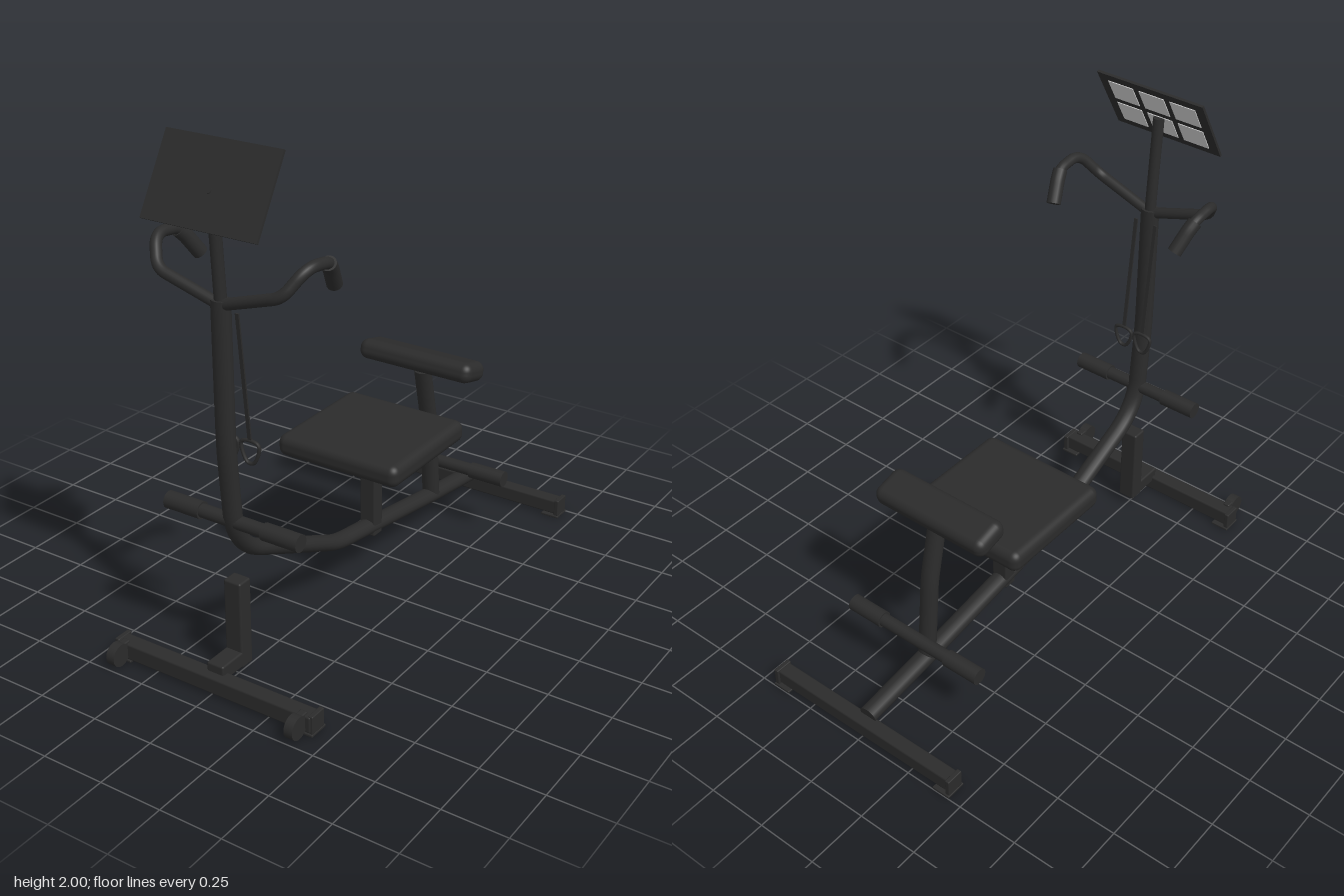
import * as THREE from 'three';
import { RoundedBoxGeometry } from 'three/addons/geometries/RoundedBoxGeometry.js';

const black = new THREE.MeshStandardMaterial({ color: 0x2b2b2b });
black.name = 'black';
const lightGrey = new THREE.MeshStandardMaterial({ color: 0xcccccc });
lightGrey.name = 'light grey';
const V = (x, y, z) => new THREE.Vector3(x, y, z);

export function createModel() {
  const model = new THREE.Group();
  model.name = 'exerciseBench';

  function add(name, geo, x = 0, y = 0, z = 0, parent = model, mat = black) {
    const m = new THREE.Mesh(geo, mat);
    m.name = name;
    m.position.set(x, y, z);
    parent.add(m);
    return m;
  }
  // Box given by its extents in y and z, centred on x
  function bar(name, w, y0, y1, z0, z1, r = 0.008, x = 0) {
    return add(name, new RoundedBoxGeometry(w, y1 - y0, z1 - z0, 2, r), x, (y0 + y1) / 2, (z0 + z1) / 2);
  }
  // Polyline with rounded bends; each point is [x, y, z, bendRadius]
  function bentPath(pts) {
    const path = new THREE.CurvePath();
    const p = pts.map(a => V(a[0], a[1], a[2]));
    let last = p[0];
    for (let i = 1; i < p.length - 1; i++) {
      const b = pts[i][3] ?? 0.05;
      const a = p[i].clone().addScaledVector(p[i - 1].clone().sub(p[i]).normalize(), b);
      const c = p[i].clone().addScaledVector(p[i + 1].clone().sub(p[i]).normalize(), b);
      path.add(new THREE.LineCurve3(last, a));
      path.add(new THREE.QuadraticBezierCurve3(a, p[i], c));
      last = c;
    }
    path.add(new THREE.LineCurve3(last, p[p.length - 1]));
    return path;
  }
  // Capped tube, optionally widened across x
  function tube(name, pts, r, widen = 1, segs = 80) {
    const g = new THREE.Group();
    g.name = name;
    const path = bentPath(pts);
    add(name + 'Body', new THREE.TubeGeometry(path, segs, r, 16), 0, 0, 0, g);
    for (const t of [0, 1]) {
      const p = path.getPointAt(t);
      const d = path.getTangentAt(t).multiplyScalar(t ? 1 : -1);
      add(name + 'Cap', new THREE.CircleGeometry(r, 16), p.x, p.y, p.z, g).lookAt(p.clone().add(d));
    }
    g.scale.x = widen;
    model.add(g);
    return g;
  }

  // Main frame and upright
  tube('mainFrame', [[0, 0.085, -0.94], [0, 0.13, -0.6, 0.05], [0, 0.24, 0.12, 0.06],
    [0, 0.52, 0.745, 0.15], [0, 0.92, 0.78, 0.08], [0, 1.47, 0.783]], 0.031, 1.22, 140);

  // Front stand with transport wheels
  bar('frontStandPost', 0.074, 0.045, 0.395, 0.713, 0.777);
  bar('frontStandArm', 0.074, 0.05, 0.112, 0.72, 0.888);
  bar('frontCrossbar', 0.87, 0.01, 0.077, 0.858, 0.922);
  // Rear stand
  bar('rearCrossbar', 0.87, 0.012, 0.075, -0.985, -0.925);
  for (const s of [1, -1]) {
    for (const z of [0.882, -0.957]) {
      bar('footPlate', 0.078, 0, 0.01, z - 0.042, z + 0.042, 0.003, s * 0.406);
      bar('crossbarEndCap', 0.02, 0.008, 0.08, z - 0.036, z + 0.036, 0.004, s * 0.433);
    }
    bar('wheelBracket', 0.03, 0.025, 0.085, 0.9, 0.96, 0.006, s * 0.397);
    add('wheel', new THREE.CylinderGeometry(0.044, 0.044, 0.036, 28), s * 0.397, 0.048, 0.956).rotation.z = Math.PI / 2;
  }

  // Seat
  bar('seatPost', 0.07, 0.168, 0.54, -0.162, -0.102);
  bar('seatPlate', 0.26, 0.533, 0.55, -0.262, 0, 0.003);
  add('seatCushion', new RoundedBoxGeometry(0.545, 0.09, 0.522, 5, 0.035), 0, 0.59, -0.133);

  // Rear pad on its leaning post
  tube('padPost', [[0, 0.14, -0.6], [0, 0.5, -0.567, 0.04], [0, 0.74, -0.513]], 0.031, 1.2, 40);
  add('rearPad', new RoundedBoxGeometry(0.52, 0.083, 0.152, 5, 0.036), 0, 0.79, -0.5).rotation.x = -0.25;

  // Foot bars with thicker grips
  function footBar(name, y, z, half, inner) {
    const g = new THREE.Group();
    g.name = name;
    g.position.set(0, y, z);
    model.add(g);
    add('rod', new THREE.CylinderGeometry(0.026, 0.026, inner * 2, 20), 0, 0, 0, g).rotation.z = Math.PI / 2;
    for (const s of [1, -1])
      add('footGrip', new THREE.CylinderGeometry(0.033, 0.033, half - inner, 24), s * (half + inner) / 2, 0, 0, g).rotation.z = Math.PI / 2;
  }
  footBar('rearFootBar', 0.265, -0.66, 0.314, 0.16);
  footBar('frontFootBar', 0.632, 0.755, 0.288, 0.136);

  for (const s of [1, -1]) {
    // Handlebar sweeping out, back and down to the grip
    tube('handlebar', [[0, 1.45, 0.785], [s * 0.255, 1.53, 0.795, 0.04], [s * 0.312, 1.625, 0.73, 0.055],
      [s * 0.312, 1.61, 0.605, 0.04], [s * 0.283, 1.515, 0.54]], 0.021);
    tube('handGrip', [[s * 0.311, 1.605, 0.612], [s * 0.302, 1.578, 0.585, 0.015], [s * 0.281, 1.503, 0.533]], 0.028, 1, 24);

    // Pull strap and stirrup handle
    const strap = add('pullStrap', new THREE.BoxGeometry(0.015, 0.493, 0.006), s * 0.045, 1.175, 0.731);
    strap.rotation.x = Math.atan2(0.05, 0.49);
    const loop = [[0, 0.935], [0.036, 0.925], [0.036, 0.895], [0.012, 0.85], [-0.012, 0.85], [-0.036, 0.895], [-0.036, 0.925]]
      .map(([x, y]) => V(s * 0.045 + x, y, 0.705));
    add('pullHandle', new THREE.TubeGeometry(new THREE.CatmullRomCurve3(loop, true), 40, 0.007, 8, true)).scale.z = 1;
  }

  // Screen pole and tilted panel
  tube('screenPole', [[0, 1.43, 0.781], [0, 1.65, 0.795, 0.02], [0, 1.85, 0.808]], 0.022, 1, 20);
  const panel = new THREE.Group();
  panel.name = 'screenPanel';
  panel.position.set(0, 1.867, 0.811);
  panel.rotation.x = -Math.PI / 6;
  model.add(panel);
  add('panelBoard', new THREE.BoxGeometry(0.47, 0.306, 0.01), 0, 0, 0, panel);
  add('panelBolt', new THREE.CylinderGeometry(0.012, 0.012, 0.006, 16), 0, -0.02, 0.005, panel).rotation.x = Math.PI / 2;
  for (const col of [-1, 0, 1])
    for (const row of [-1, 1])
      add('displayCell', new THREE.BoxGeometry(0.112, 0.104, 0.004), col * 0.138, row * 0.066, -0.006, panel, lightGrey);
  return model;
}
